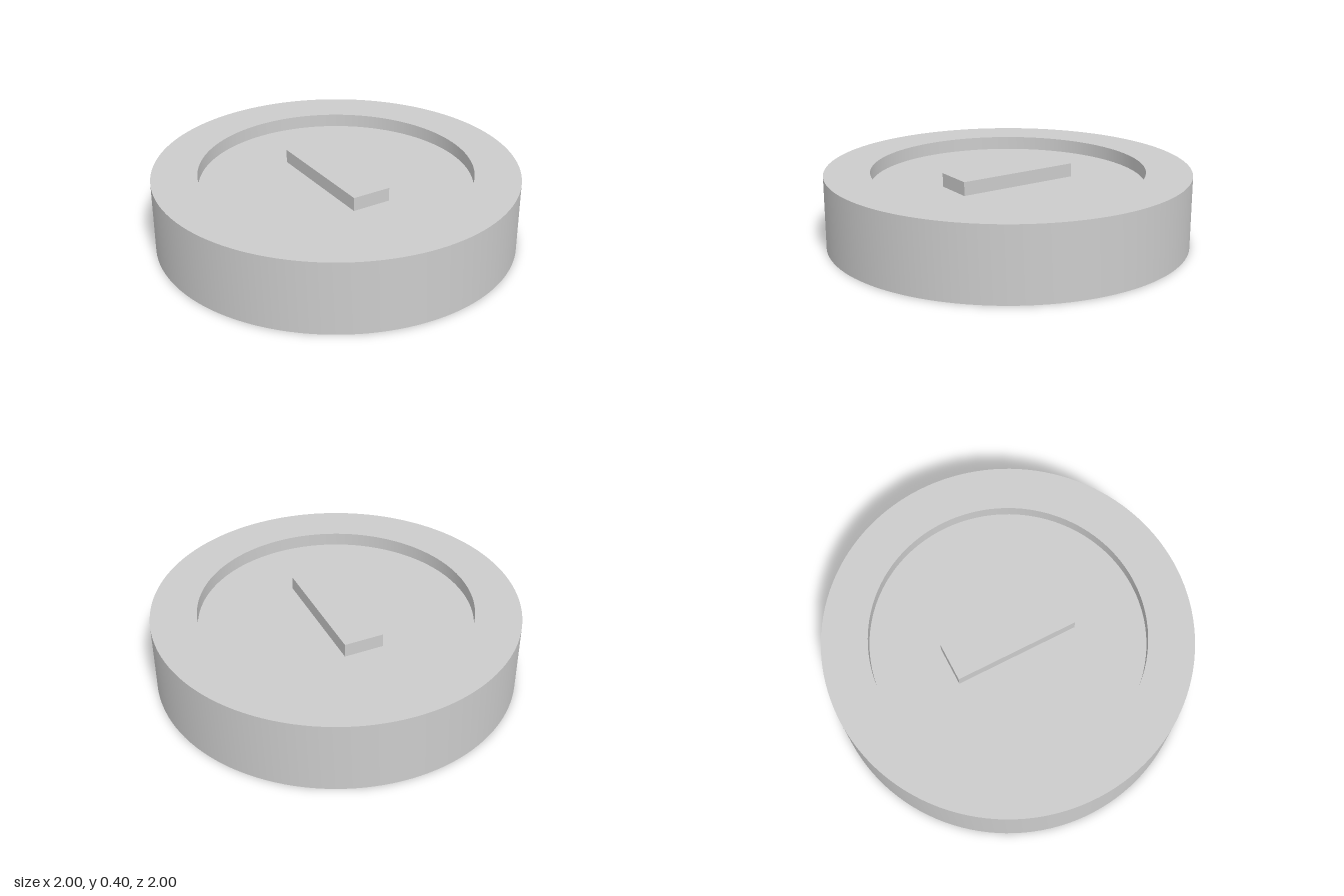
import * as THREE from 'three';
import { toCreasedNormals } from 'three/addons/utils/BufferGeometryUtils.js';

const HEIGHT = 0.4, OUTER = 1, INNER = 0.75, RECESS = 0.075, SEGMENTS = 128;

export function createModel() {
  const model = new THREE.Group();
  model.name = 'recessedDisc';
  const material = new THREE.MeshStandardMaterial({ color: 0xcccccc });

  const add = (name, geometry, y = 0) => {
    const mesh = new THREE.Mesh(geometry, material);
    mesh.name = name;
    mesh.position.y = y;
    model.add(mesh);
  };

  // Thick outer rim, a rectangle turned about the axis
  const profile = [[INNER, 0], [OUTER, 0], [OUTER, HEIGHT], [INNER, HEIGHT], [INNER, 0]]
    .map(([x, y]) => new THREE.Vector2(x, y));
  add('rim', toCreasedNormals(new THREE.LatheGeometry(profile, SEGMENTS), Math.PI / 6));

  // Thinner web, recessed on both faces
  add('web', new THREE.CylinderGeometry(INNER, INNER, HEIGHT - 2 * RECESS, SEGMENTS), HEIGHT / 2);

  // Raised bar on each face, flush with the rim
  const bar = new THREE.BoxGeometry(0.22, RECESS, 0.7);
  add('topBar', bar, HEIGHT - RECESS / 2);
  add('bottomBar', bar, RECESS / 2);

  return model;
}
